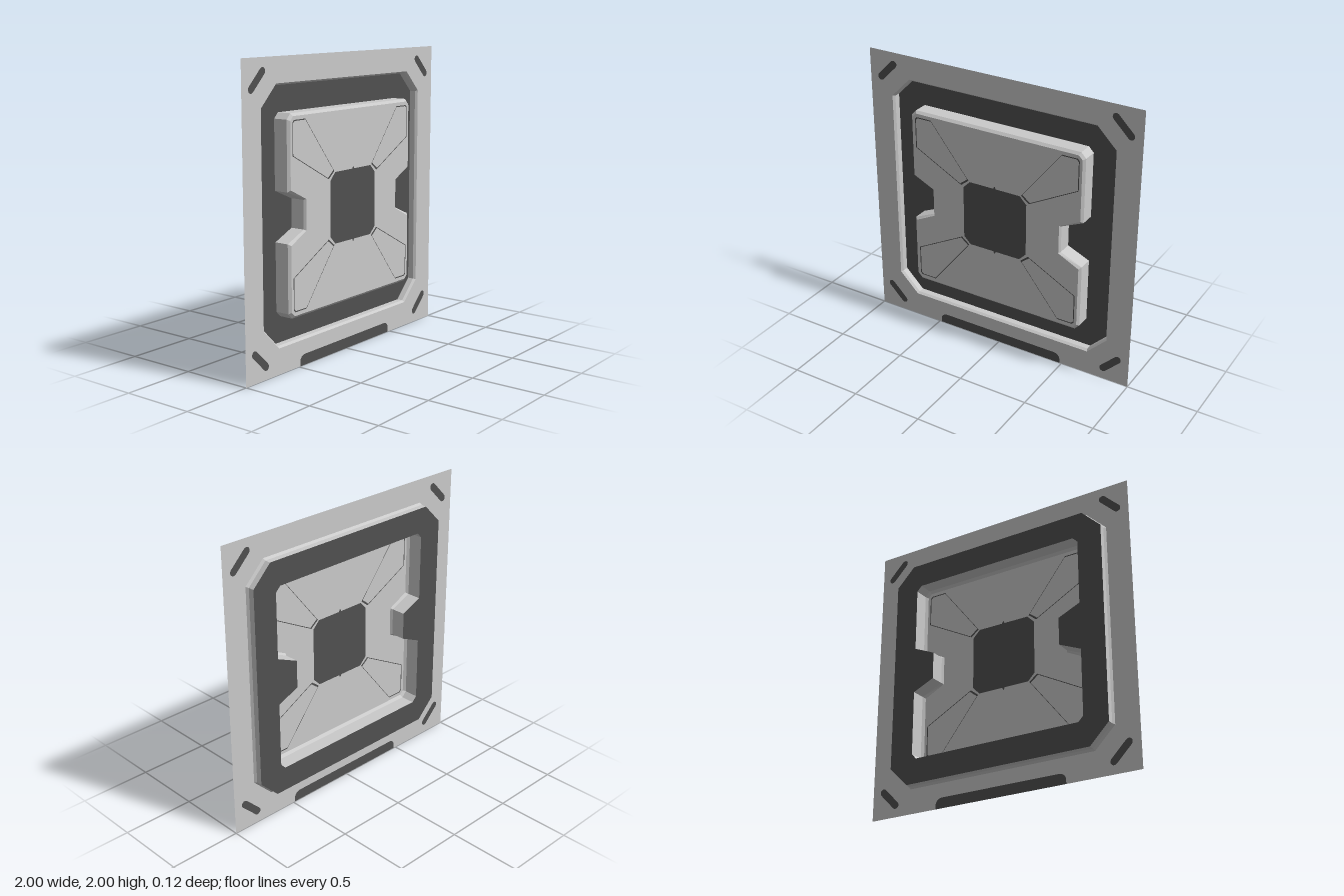
import * as THREE from 'three';

const C = 1.004;       // height of the panel centre
const DEPTH = 0.058;   // recess depth and panel height

const light = new THREE.MeshStandardMaterial({ color: 0xcacaca, side: THREE.DoubleSide });
light.name = 'light grey';
const dark = new THREE.MeshStandardMaterial({ color: 0x505050, side: THREE.DoubleSide });
dark.name = 'dark grey';

// Mirror a quarter outline (anticlockwise, +x to +y) into a closed loop
function mirror4(q) {
  const r = [...q].reverse();
  return [
    ...q,
    ...r.map(([x, y]) => [-x, y]),
    ...q.map(([x, y]) => [-x, -y]),
    ...r.map(([x, y]) => [x, -y]),
  ].map(([x, y]) => new THREE.Vector2(x, y + C));
}

// Flat sheet with optional holes
function sheet(name, outline, z, material, holes = []) {
  const shape = new THREE.Shape(outline);
  shape.holes = holes.map((h) => new THREE.Path(h));
  const mesh = new THREE.Mesh(new THREE.ShapeGeometry(shape), material);
  mesh.position.z = z;
  mesh.name = name;
  return mesh;
}

// Flat-faced wall through a stack of loops, each { pts, z }
function wall(name, loops, material) {
  const pos = [];
  for (let k = 0; k < loops.length - 1; k++) {
    const a = loops[k], b = loops[k + 1], n = a.pts.length;
    for (let i = 0; i < n; i++) {
      const j = (i + 1) % n;
      const corner = (l, m) => [l.pts[m].x, l.pts[m].y, l.z];
      pos.push(...corner(a, i), ...corner(a, j), ...corner(b, j));
      pos.push(...corner(a, i), ...corner(b, j), ...corner(b, i));
    }
  }
  const g = new THREE.BufferGeometry();
  g.setAttribute('position', new THREE.Float32BufferAttribute(pos, 3));
  g.computeVertexNormals();
  const mesh = new THREE.Mesh(g, material);
  mesh.name = name;
  return mesh;
}

// Diagonal rounded slot in one corner
function slotLoop(sx, sy) {
  const pts = [], r = 0.025, half = 0.052;
  for (let end = 0; end < 2; end++) {
    const s = end ? -1 : 1;
    for (let i = 0; i <= 6; i++) {
      const a = -Math.PI / 4 + s * Math.PI / 2 - Math.PI / 2 + (i / 6) * Math.PI;
      pts.push([s * half + r * Math.cos(a), -s * half + r * Math.sin(a)]);
    }
  }
  // The end caps face along the slot direction
  const turned = pts.map(([x, y], i) => {
    const s = i < 7 ? 1 : -1;
    const a = -Math.PI / 4 + (s < 0 ? Math.PI : 0) - Math.PI / 2 + ((i % 7) / 6) * Math.PI;
    return [s * half + r * Math.cos(a), -s * half + r * Math.sin(a)];
  });
  return turned.map(([x, y]) => new THREE.Vector2(sx * (0.865 + x), 1 + sy * (0.865 + y)));
}

export function createModel() {
  const model = new THREE.Group();
  model.name = 'wallPanel';
  const quads = [[1, 1], [-1, 1], [-1, -1], [1, -1]];

  // Outlines
  const rimTop = mirror4([[0.832, 0.69], [0.69, 0.832]]);
  const rimLow = mirror4([[0.82, 0.685], [0.685, 0.82]]);
  const panelBase = mirror4([[0.492, 0.095], [0.647, 0.163], [0.647, 0.612], [0.612, 0.648]]);
  const panelTop = mirror4([[0.482, 0.101], [0.631, 0.175], [0.631, 0.604], [0.604, 0.631]]);
  const centre = mirror4([[0.24, 0.185], [0.19, 0.236], [0.01, 0.236], [0.002, 0.252]]);

  // Bottom strip, with rounded upper corners
  const tabHalf = [];
  for (let i = 0; i <= 4; i++) {
    const a = (i / 4) * Math.PI / 2;
    tabHalf.push([0.44 + 0.045 * Math.cos(a), 0.028 + 0.045 * Math.sin(a)]);
  }
  const tab = [[0.485, 0], ...tabHalf, ...tabHalf.map(([x, y]) => [-x, y]).reverse(), [-0.485, 0]]
    .map(([x, y]) => new THREE.Vector2(x, y));

  // Square backing sheet, cut for the recess, the slots and the strip
  const slots = quads.map(([sx, sy]) => slotLoop(sx, sy));
  const square = [[1, 0], [1, 2], [-1, 2], [-1, 0]].map(([x, y]) => new THREE.Vector2(x, y));
  model.add(sheet('backingSheet', [...square, ...[...tab].reverse()], 0, light, [rimTop, ...slots]));
  slots.forEach((s) => model.add(sheet('cornerSlot', s, 0, dark)));
  model.add(sheet('bottomStrip', tab, 0, dark));

  // Recessed dark frame and its bevelled rim
  model.add(wall('recessRim', [
    { pts: rimTop, z: 0 }, { pts: rimLow, z: -0.016 }, { pts: rimLow, z: -DEPTH },
  ], light));
  model.add(sheet('recessedFrame', rimLow, -DEPTH, dark, [panelBase]));

  // Raised inner panel with bevelled edge
  model.add(wall('panelWall', [
    { pts: panelBase, z: -DEPTH }, { pts: panelBase, z: 0.042 }, { pts: panelTop, z: DEPTH },
  ], light));

  // Four corner inlays, each outlined by a narrow dark seam
  const inlay = [[0.612, 0.385], [0.612, 0.592], [0.598, 0.607], [0.488, 0.607], [0.2, 0.243], [0.258, 0.197]];
  const seamOuter = [];
  for (const [sx, sy] of quads) {
    const place = (s) => inlay.map(([x, y]) => new THREE.Vector2(
      sx * (0.45 + (x - 0.45) * s), C + sy * (0.435 + (y - 0.435) * s)));
    const outer = place(1), inner = place(0.96);
    seamOuter.push(outer);
    model.add(sheet('inlaySeam', outer, DEPTH, dark, [inner]));
    model.add(sheet('cornerInlay', inner, DEPTH, light));
  }

  // Panel face and dark centre plate
  model.add(sheet('panelFace', panelTop, DEPTH, light, [centre, ...seamOuter]));
  model.add(sheet('centrePlate', centre, DEPTH, dark));
  return model;
}
